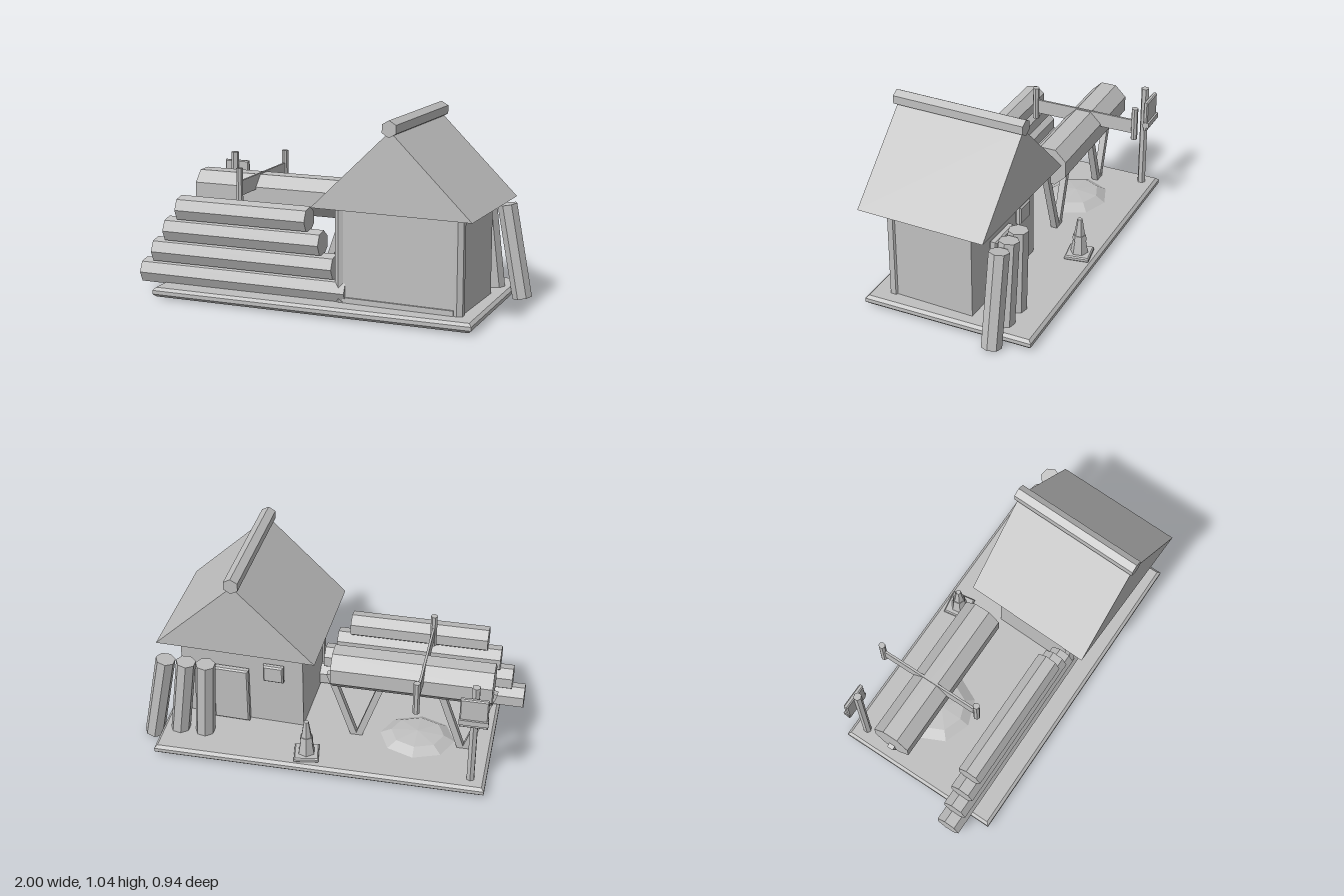
import * as THREE from 'three';

const grey = new THREE.MeshStandardMaterial({ color: 0xc0c0c0, flatShading: true });
grey.name = 'plain grey';

function add(parent, name, geometry, x = 0, y = 0, z = 0) {
  const mesh = new THREE.Mesh(geometry, grey);
  mesh.name = name;
  mesh.position.set(x, y, z);
  parent.add(mesh);
  return mesh;
}

const box = (w, h, d) => new THREE.BoxGeometry(w, h, d);
const prism = (r, h, sides, start = 0, rTop = r) =>
  new THREE.CylinderGeometry(rTop, r, h, sides, 1, false, start);

// Box with chamfered edges, standing on y = 0
function bevelledSlab(w, h, d, b) {
  const x = w / 2 - b, z = d / 2 - b;
  const shape = new THREE.Shape([
    new THREE.Vector2(-x, -z), new THREE.Vector2(x, -z),
    new THREE.Vector2(x, z), new THREE.Vector2(-x, z)]);
  const g = new THREE.ExtrudeGeometry(shape, {
    depth: h - 2 * b, bevelEnabled: true, bevelThickness: b, bevelSize: b, bevelSegments: 1 });
  return g.rotateX(-Math.PI / 2).translate(0, b, 0);
}

// Straight member running from point a to point b
function between(parent, name, geometryOf, a, b) {
  const from = new THREE.Vector3(...a), to = new THREE.Vector3(...b);
  const dir = to.clone().sub(from);
  const mesh = add(parent, name, geometryOf(dir.length()));
  mesh.position.copy(from).add(to).multiplyScalar(0.5);
  mesh.quaternion.setFromUnitVectors(new THREE.Vector3(0, 1, 0), dir.normalize());
  return mesh;
}

function group(parent, name) {
  const g = new THREE.Group();
  g.name = name;
  parent.add(g);
  return g;
}

function buildHut(root) {
  const hut = group(root, 'hut');
  hut.position.set(0.475, 0, 0.105);
  hut.rotation.y = -0.035;
  add(hut, 'walls', box(0.67, 0.51, 0.47), 0, 0.32, 0);
  for (const x of [-0.32, 0.32])
    add(hut, 'cornerPost', prism(0.03, 0.51, 6), x, 0.32, 0.217);
  add(hut, 'frontSill', box(0.6, 0.03, 0.02), 0, 0.078, 0.236);
  add(hut, 'frontBeam', box(0.6, 0.025, 0.02), 0, 0.56, 0.236);
  add(hut, 'backBeam', box(0.62, 0.035, 0.03), 0, 0.548, -0.245);

  // Solid gable roof with a ridge log
  const gable = new THREE.Shape([
    new THREE.Vector2(-0.428, 0.57), new THREE.Vector2(0.428, 0.57), new THREE.Vector2(0, 0.985)]);
  add(hut, 'roof', new THREE.ExtrudeGeometry(gable, { depth: 0.7, bevelEnabled: false })
    .translate(0, 0, -0.35));
  add(hut, 'ridgeLog', prism(0.043, 0.725, 6).rotateX(Math.PI / 2), 0, 0.998, 0);

  // Door and window on the back wall
  add(hut, 'door', bevelledSlab(0.195, 0.04, 0.335, 0.008).rotateX(-Math.PI / 2), 0.055, 0.235, -0.235);
  add(hut, 'window', bevelledSlab(0.11, 0.035, 0.1, 0.008).rotateX(-Math.PI / 2), -0.18, 0.402, -0.235);
}

function buildLogStack(root) {
  const stack = group(root, 'logStack');
  const lengths = [1.18, 1.04, 0.895, 0.745];
  lengths.forEach((len, i) =>
    add(stack, 'stackedLog', prism(0.069, len, 7).rotateZ(Math.PI / 2), -0.41, 0.113 + i * 0.119, 0.285));
}

function buildSawhorse(root) {
  const horse = group(root, 'sawhorse');
  const z = -0.145;
  add(horse, 'sawnLog', prism(0.112, 0.84, 8, Math.PI / 8).rotateZ(Math.PI / 2), -0.44, 0.5, z);
  // Legs form a V at each end
  for (const x of [-0.72, -0.145])
    for (const s of [-1, 1])
      between(horse, 'sawhorseLeg', len => box(0.035, len, 0.035),
        [x, 0.025, z], [x + s * 0.145, 0.45, z]);

  // Two-handled saw lying across the log
  const saw = group(root, 'saw');
  add(saw, 'sawBlade', box(0.012, 0.08, 0.58), -0.5, 0.57, -0.15);
  for (const hz of [-0.443, 0.143])
    add(saw, 'sawHandle', prism(0.018, 0.185, 7), -0.5, 0.588, hz);
}

function buildLeaningLogs(root) {
  const logs = group(root, 'leaningLogs');
  const feet = [0.66, 0.8, 0.943], tops = [0.635, 0.74, 0.85];
  feet.forEach((x, i) =>
    between(logs, 'leaningLog', len => prism(0.053, len, 7, Math.PI / 2),
      [x, 0.014, -0.285], [tops[i], 0.512, -0.285]));
}

function buildCone(root) {
  const cone = group(root, 'trafficCone');
  cone.position.set(0.08, 0.065, -0.378);
  cone.rotation.y = 0.16;
  add(cone, 'coneBase', bevelledSlab(0.13, 0.025, 0.13, 0.006));
  add(cone, 'coneBody', prism(0.048, 0.205, 6, 0, 0.014), 0, 0.122, 0);
  add(cone, 'coneBand', prism(0.039, 0.03, 6, 0, 0.034), 0, 0.115, 0);
}

function buildSign(root) {
  const sign = group(root, 'sign');
  add(sign, 'signPost', prism(0.022, 0.6, 6), -0.79, 0.36, -0.392);
  add(sign, 'signBoard', bevelledSlab(0.145, 0.025, 0.175, 0.006).rotateX(-Math.PI / 2), -0.79, 0.52, -0.412);
  add(sign, 'signStrip', box(0.15, 0.03, 0.034), -0.79, 0.47, -0.43);
}

export function createModel() {
  const root = new THREE.Group();
  root.name = 'loggingCamp';
  add(root, 'platform', bevelledSlab(1.76, 0.05, 0.925, 0.015), 0.01, 0.015, -0.008);
  buildHut(root);
  buildLogStack(root);
  buildSawhorse(root);
  buildLeaningLogs(root);
  buildCone(root);
  buildSign(root);

  // Low heap of sawdust below the saw
  const heap = add(root, 'sawdustHeap', new THREE.SphereGeometry(1, 8, 4), -0.47, 0.068, -0.12);
  heap.scale.set(0.2, 0.045, 0.175);
  return root;
}
